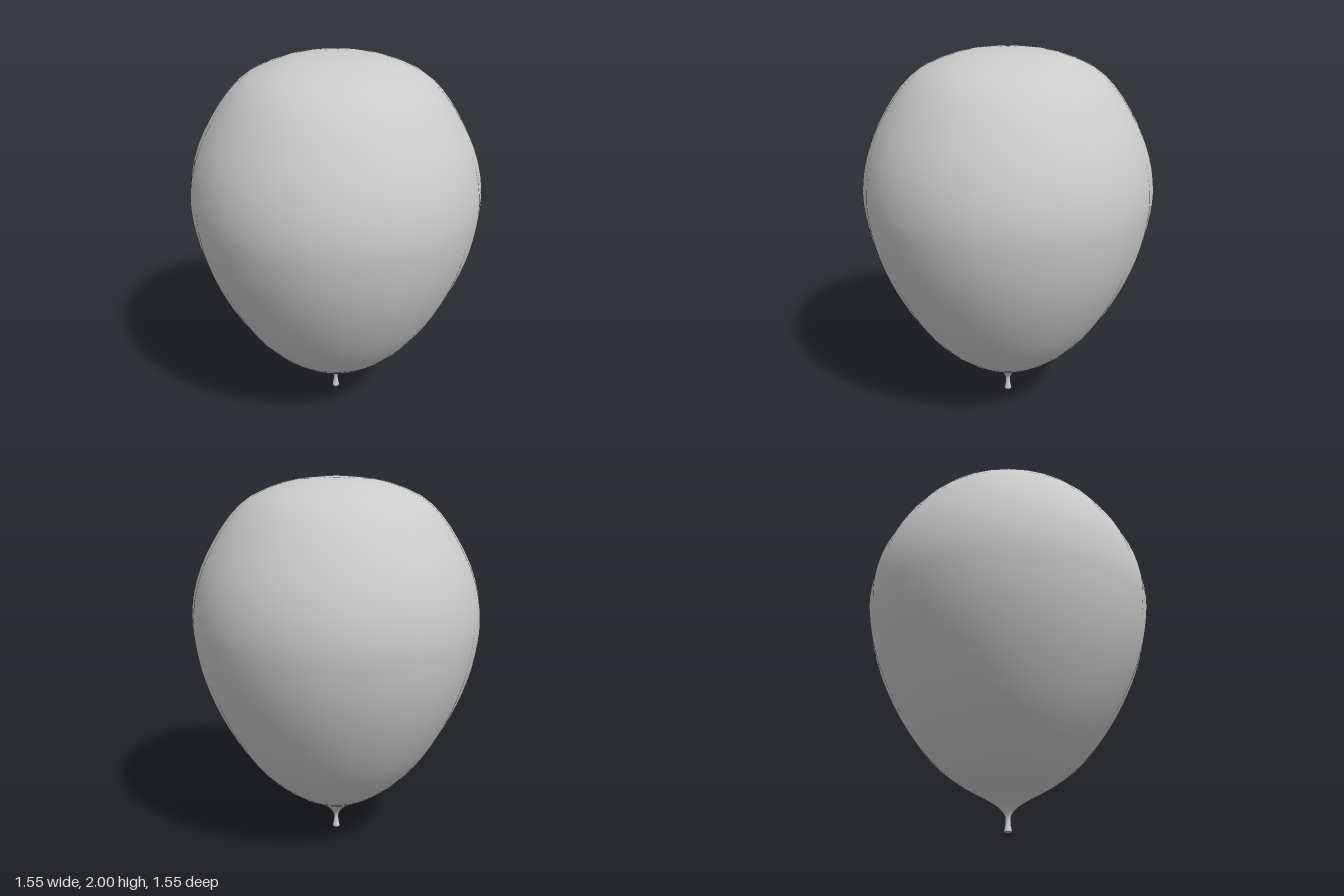
import * as THREE from 'three';

const SIDES = 32;
const material = new THREE.MeshStandardMaterial({ color: 0xcccccc, side: THREE.DoubleSide });

// Revolve a smooth curve through [radius, height] points, listed bottom to top
function revolve(name, points, rows) {
  const curve = new THREE.SplineCurve(points.map(([r, y]) => new THREE.Vector2(r, y)));
  const profile = curve.getPoints(rows);
  profile.forEach((p) => { p.x = Math.max(p.x, 0); });
  const mesh = new THREE.Mesh(new THREE.LatheGeometry(profile, SIDES), material);
  mesh.name = name;
  return mesh;
}

export function createModel() {
  const group = new THREE.Group();
  group.name = 'balloon';

  // Inflated skin, from the pinched neck up to the flattened crown
  group.add(revolve('inflatedSkin', [
    [0.014, 0.06], [0.018, 0.085], [0.05, 0.125], [0.125, 0.175], [0.24, 0.24],
    [0.365, 0.335], [0.475, 0.455], [0.567, 0.59], [0.645, 0.735], [0.702, 0.87],
    [0.745, 1.01], [0.77, 1.15], [0.777, 1.26], [0.762, 1.39], [0.72, 1.53],
    [0.648, 1.67], [0.558, 1.8], [0.445, 1.9], [0.27, 1.97], [0.13, 1.993], [0, 2],
  ], 40));

  // Flared mouth below the neck
  group.add(revolve('mouthFlare', [
    [0.014, 0.06], [0.016, 0.035], [0.021, 0.008], [0.021, 0],
  ].reverse(), 8));

  // Flat underside closing the mouth
  const cap = new THREE.Mesh(new THREE.CircleGeometry(0.021, SIDES), material);
  cap.name = 'mouthCap';
  cap.rotation.x = Math.PI / 2;
  group.add(cap);

  return group;
}
